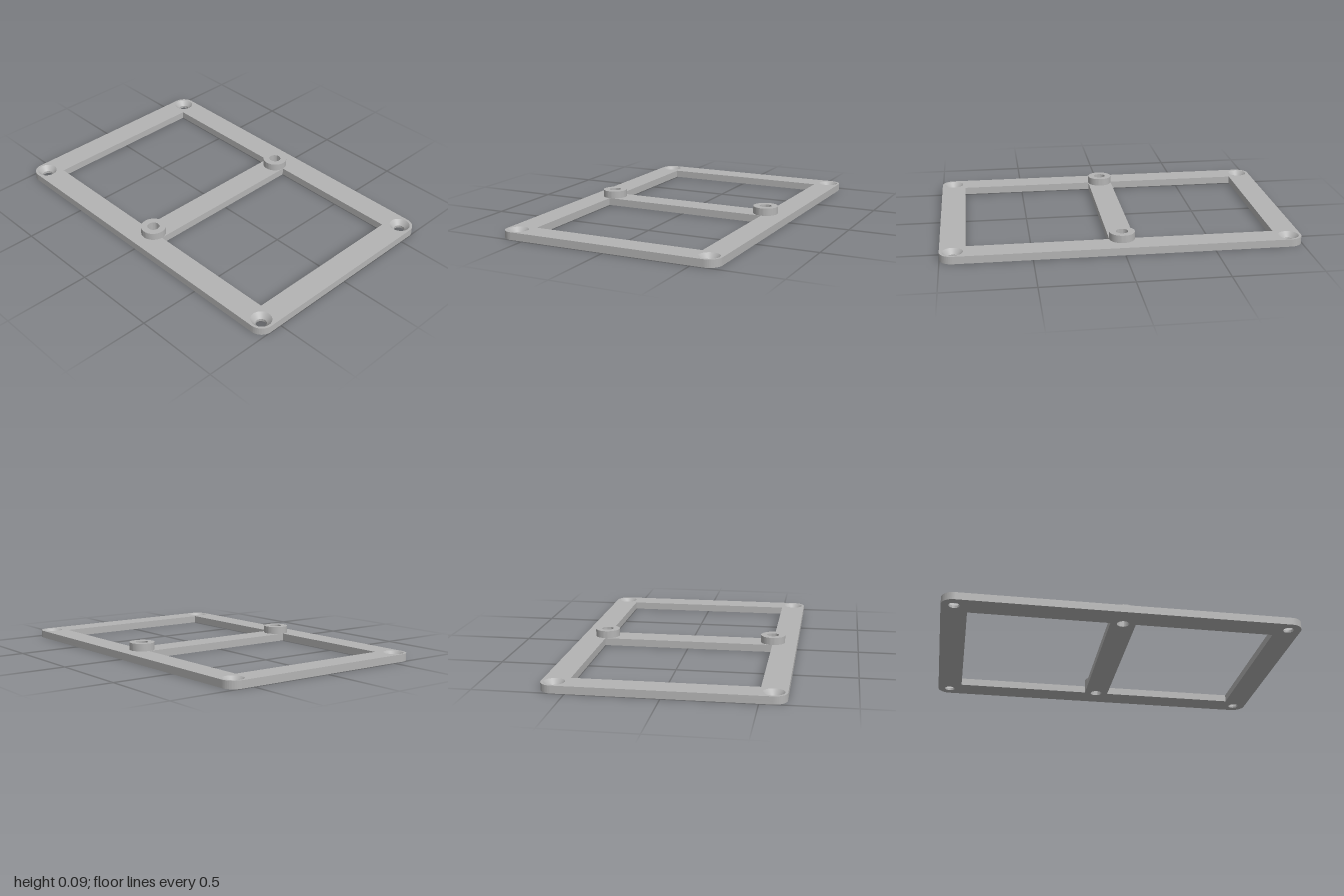
import * as THREE from 'three';
import { toCreasedNormals } from 'three/addons/utils/BufferGeometryUtils.js';

const U = 1 / 70;            // drawing unit: half the plate length is 70
const HALF_X = 45 * U, HALF_Z = 70 * U, CORNER = 5 * U;
const LOWER = 1 * U, PLATE = 3 * U, TOP = 6 * U;
const SCREW_R = 2.1 * U, SINK_R = 4 * U, BOSS_R = 5 * U, BOSS_HOLE_R = 2.4 * U;
const SCREW_X = 40 * U, SCREW_Z = 65 * U, BOSS_X = 35 * U;

const circle = (Type, x, y, r) => new Type().absarc(x, y, r, 0, Math.PI * 2, false);

// Extrude a plan shape upward between two heights
function slab(shape, y0, y1) {
  const g = new THREE.ExtrudeGeometry(shape, { depth: y1 - y0, bevelEnabled: false, curveSegments: 32 });
  g.rotateX(-Math.PI / 2).translate(0, y0, 0);
  return toCreasedNormals(g, 0.6);
}

// Rounded frame outline with two windows, boss holes and corner holes
function frameShape(cornerHoleR) {
  const s = new THREE.Shape();
  const x = HALF_X - CORNER, z = HALF_Z - CORNER;
  [[x, z], [-x, z], [-x, -z], [x, -z]].forEach(([cx, cz], i) =>
    s.absarc(cx, cz, CORNER, i * Math.PI / 2, (i + 1) * Math.PI / 2, false));
  s.closePath();
  for (const side of [-1, 1]) {
    const wx = 35 * U, near = side * 5 * U, far = side * 60 * U;
    s.holes.push(new THREE.Path([[-wx, near], [wx, near], [wx, far], [-wx, far]]
      .map(([a, b]) => new THREE.Vector2(a, b))));
    s.holes.push(circle(THREE.Path, side * BOSS_X, 0, BOSS_HOLE_R));
    for (const end of [-1, 1])
      s.holes.push(circle(THREE.Path, side * SCREW_X, end * SCREW_Z, cornerHoleR));
  }
  return s;
}

export function createModel() {
  const grey = new THREE.MeshStandardMaterial({ color: 0xb4b4b4 });
  grey.name = 'grey';
  const sinkGrey = grey;
  const model = new THREE.Group();
  model.name = 'mountingFrame';
  const add = (name, geometry) => {
    const mesh = new THREE.Mesh(geometry, sinkGrey);
    mesh.name = name;
    model.add(mesh);
    return mesh;
  };

  // Flat frame in two layers, so the corner holes can widen upward
  add('frameLower', slab(frameShape(SCREW_R), 0, LOWER));
  add('frameUpper', slab(frameShape(SINK_R), LOWER, PLATE));

  // Countersinks: cones facing inward and up
  const cone = new THREE.LatheGeometry(
    [new THREE.Vector2(SINK_R, PLATE), new THREE.Vector2(SCREW_R, LOWER)], 64);
  for (const sx of [-1, 1])
    for (const sz of [-1, 1])
      add('countersink', cone).position.set(sx * SCREW_X, 0, sz * SCREW_Z);

  // Raised ring bosses at the ends of the crossbar
  const ring = circle(THREE.Shape, 0, 0, BOSS_R);
  ring.holes.push(circle(THREE.Path, 0, 0, BOSS_HOLE_R));
  const bossGeometry = slab(ring, PLATE, TOP);
  for (const sx of [-1, 1]) add('boss', bossGeometry).position.x = sx * BOSS_X;

  return model;
}
